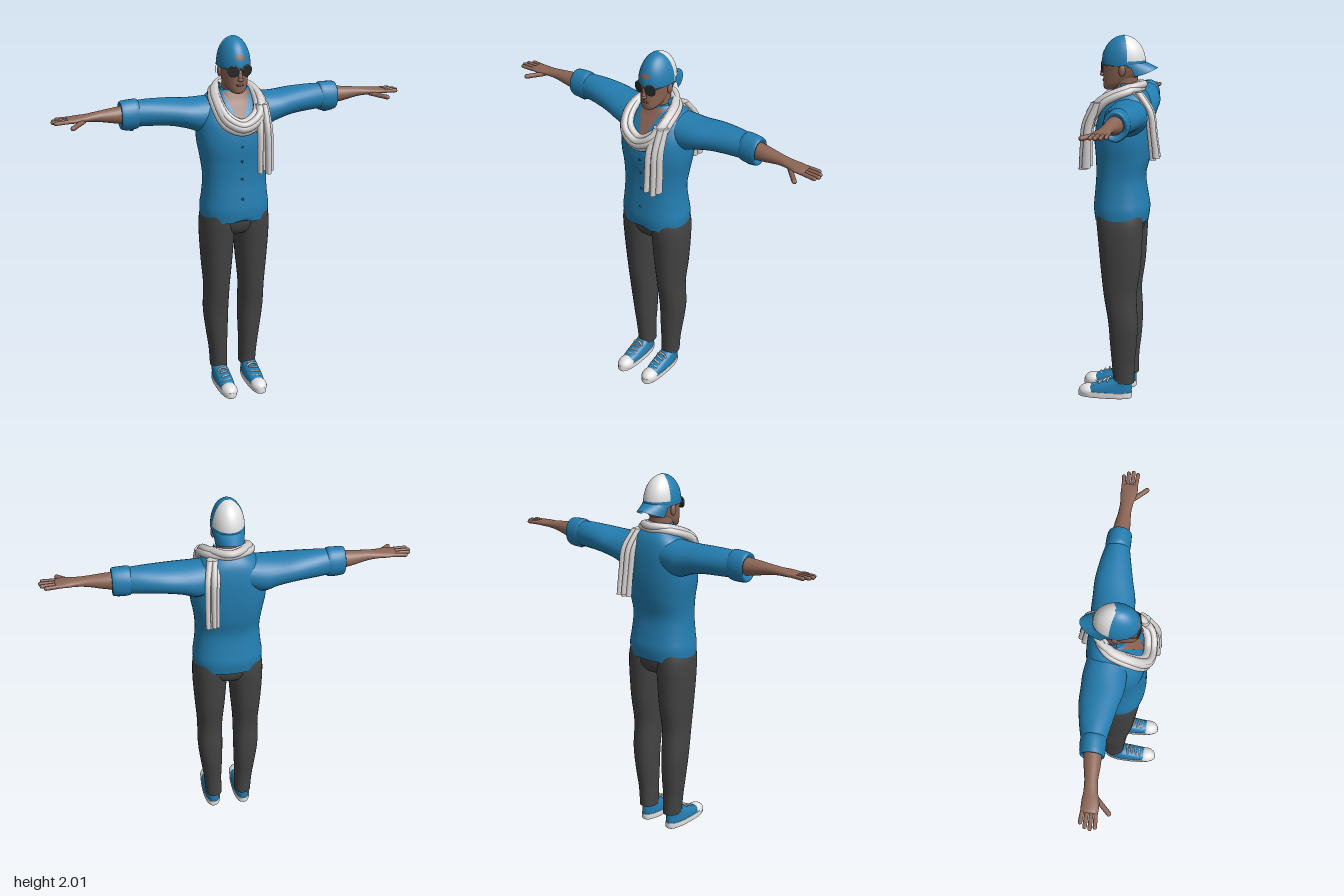
import * as THREE from 'three';

const mat = (name, color, side = THREE.FrontSide) =>
  Object.assign(new THREE.MeshStandardMaterial({ color, side }), { name });

// Smoothly resample a list of cross-sections
function smooth(rows, steps = 4) {
  const out = [], at = i => rows[Math.min(Math.max(i, 0), rows.length - 1)];
  for (let i = 0; i < rows.length - 1; i++) for (let s = 0; s < steps; s++) {
    const t = s / steps;
    out.push(rows[i].map((b, k) => {
      const a = at(i - 1)[k], c = at(i + 1)[k], d = at(i + 2)[k];
      return 0.5 * (2 * b + (c - a) * t + (2 * a - 5 * b + 4 * c - d) * t * t + (3 * b - a - 3 * c + d) * t ** 3);
    }));
  }
  out.push(rows[rows.length - 1]);
  return out;
}

function build(pos, idx) {
  const g = new THREE.BufferGeometry();
  g.setAttribute('position', new THREE.Float32BufferAttribute(pos, 3));
  g.setIndex(idx);
  g.computeVertexNormals();
  return g;
}

// Skin rows of [y, centre x, centre z, radius x, radius z] into a capped body
function loft(rows, { seg = 28, p = 2, steps = 4 } = {}) {
  const dense = smooth(rows, steps), pos = [], idx = [];
  const bend = v => Math.sign(v) * Math.abs(v) ** (2 / p);
  const ring = ([y, cx, cz, rx, rz]) => {
    for (let j = 0; j < seg; j++) {
      const a = j / seg * Math.PI * 2;
      pos.push(cx + rx * bend(Math.cos(a)), y, cz + rz * bend(Math.sin(a)));
    }
  };
  dense.forEach(ring);
  for (let i = 0; i < dense.length - 1; i++) for (let j = 0; j < seg; j++) {
    const k = (j + 1) % seg, a = i * seg, b = a + seg;
    idx.push(a + j, b + j, a + k, b + j, b + k, a + k);
  }
  [dense[0], dense[dense.length - 1]].forEach((r, top) => {
    const s = pos.length / 3;
    ring(r);
    pos.push(r[1], r[0], r[2]);
    for (let j = 0; j < seg; j++) {
      const k = (j + 1) % seg;
      idx.push(s + seg, s + (top ? k : j), s + (top ? j : k));
    }
  });
  return build(pos, idx);
}

// Same, running along x: rows of [x, centre y, centre z, radius y, radius z]
const loftX = (rows, o) => loft(rows.map(([x, y, ...r]) => [x, -y, ...r]), o).rotateZ(-Math.PI / 2);

// Open sheet from a function of u, v in 0..1
function sheet(fn, nu, nv) {
  const pos = [], idx = [];
  for (let i = 0; i <= nv; i++) for (let j = 0; j <= nu; j++) pos.push(...fn(j / nu, i / nv));
  for (let i = 0; i < nv; i++) for (let j = 0; j < nu; j++) {
    const a = i * (nu + 1) + j, b = a + nu + 1;
    idx.push(a, a + 1, b, a + 1, b + 1, b);
  }
  return build(pos, idx);
}

function mirror(geo) {
  const g = geo.clone().scale(-1, 1, 1), ix = g.index.array;
  for (let i = 0; i < ix.length; i += 3) [ix[i + 1], ix[i + 2]] = [ix[i + 2], ix[i + 1]];
  return g;
}

// Rounded rod between two points
function rod(a, b, r) {
  const A = new THREE.Vector3(...a), B = new THREE.Vector3(...b), d = B.clone().sub(A);
  const q = new THREE.Quaternion().setFromUnitVectors(new THREE.Vector3(0, 1, 0), d.clone().normalize());
  const m = A.add(B).multiplyScalar(0.5);
  return new THREE.CapsuleGeometry(r, d.length() - r, 4, 10).applyQuaternion(q).translate(m.x, m.y, m.z);
}
const ball = (x, y, z, rx, ry, rz) => new THREE.SphereGeometry(1, 20, 14).scale(rx, ry, rz).translate(x, y, z);
const box = (x, y, z, w, h, d) => new THREE.BoxGeometry(w, h, d).translate(x, y, z);

export function createModel() {
  const blue = mat('blue cloth', 0x237db0, THREE.DoubleSide), skin = mat('skin', 0x8c6555);
  const trousers = mat('charcoal trousers', 0x434343), scarf = mat('pale scarf', 0xd3cfcf);
  const white = mat('white', 0xe2e2e2, THREE.DoubleSide), lens = mat('dark lens', 0x25272a);
  const metal = mat('frame metal', 0x77726e), navy = mat('button navy', 0x14486a), lip = mat('lips', 0x6e4640);
  const model = new THREE.Group();
  const add = (name, geo, m) => {
    const mesh = new THREE.Mesh(geo, m);
    mesh.name = name;
    model.add(mesh);
  };
  const pair = (name, geo, m) => { add('left ' + name, geo, m); add('right ' + name, mirror(geo), m); };

  // Shirt body with a small notch in the front hem
  const P = 2.35;
  const torso = [
    [1.015, 0, -0.005, 0.184, 0.143], [1.08, 0, -0.005, 0.187, 0.15], [1.15, 0, -0.002, 0.178, 0.142],
    [1.25, 0, 0, 0.172, 0.132], [1.35, 0, -0.01, 0.182, 0.143], [1.45, 0, -0.013, 0.199, 0.152],
    [1.55, 0, -0.02, 0.2, 0.146], [1.62, 0, -0.035, 0.185, 0.125], [1.68, 0, -0.045, 0.14, 0.1],
    [1.725, 0, -0.04, 0.085, 0.075]];
  const shirt = loft(torso, { seg: 48, p: P });
  const sp = shirt.attributes.position;
  for (let i = 0; i < sp.count; i++)
    if (sp.getY(i) < 1.02 && sp.getZ(i) > 0.05)
      sp.setY(i, sp.getY(i) + 0.045 * Math.max(0, 1 - Math.abs(sp.getX(i)) / 0.038));
  shirt.computeVertexNormals();
  add('shirt', shirt, blue);
  const dense = smooth(torso, 12);
  const frontZ = (x, y) => {
    const [, , cz, rx, rz] = dense.find(r => r[0] >= y) || dense[dense.length - 1];
    return cz + rz * (1 - Math.min(1, Math.abs(x) / rx) ** P) ** (1 / P);
  };
  add('open chest', sheet((u, v) => {
    const y = 1.55 + 0.165 * v, x = (u * 2 - 1) * 0.075 * v;
    return [x, y, frontZ(x, y) + 0.005];
  }, 10, 12), skin);
  for (const y of [1.44, 1.36, 1.26, 1.15])
    add('shirt button', ball(0, y, frontZ(0, y), 0.007, 0.007, 0.004), navy);
  add('collar', new THREE.CylinderGeometry(0.074, 0.088, 0.08, 28, 1, true, Math.PI * 0.4, Math.PI * 1.2)
    .translate(0, 1.715, -0.03), blue);

  // Arms: sleeve, rolled cuff, forearm, hand
  pair('sleeve', loftX([
    [0.08, 1.6, -0.05, 0.085, 0.1], [0.17, 1.585, -0.055, 0.094, 0.11], [0.25, 1.597, -0.057, 0.08, 0.108],
    [0.34, 1.61, -0.067, 0.073, 0.097], [0.45, 1.616, -0.07, 0.071, 0.077], [0.53, 1.616, -0.068, 0.068, 0.06]]), blue);
  pair('cuff', loftX([
    [0.505, 1.616, -0.068, 0.064, 0.056], [0.512, 1.616, -0.068, 0.078, 0.064], [0.55, 1.614, -0.068, 0.08, 0.065],
    [0.592, 1.614, -0.066, 0.077, 0.062], [0.602, 1.615, -0.066, 0.068, 0.055], [0.594, 1.617, -0.066, 0.05, 0.045]],
    { steps: 2 }), blue);
  pair('cuff flap', rod([0.535, 1.54, -0.06], [0.585, 1.55, -0.055], 0.014), blue);
  pair('forearm', loftX([
    [0.56, 1.618, -0.066, 0.05, 0.046], [0.64, 1.62, -0.06, 0.04, 0.042], [0.72, 1.624, -0.055, 0.027, 0.033],
    [0.78, 1.624, -0.05, 0.02, 0.035], [0.83, 1.623, -0.046, 0.018, 0.043], [0.875, 1.622, -0.045, 0.014, 0.042],
    [0.885, 1.622, -0.045, 0.006, 0.036]]), skin);
  [[-0.083, 0.935], [-0.059, 0.955], [-0.034, 0.962], [-0.01, 0.952]].forEach(([z, tip], i) =>
    pair('finger ' + (i + 1), rod([0.86, 1.622, -0.045 + (z + 0.045) * 0.85], [tip, 1.62, z], 0.0105), skin));
  pair('thumb', rod([0.795, 1.615, -0.03], [0.875, 1.603, 0.05], 0.0125), skin);

  // Trousers
  add('trouser seat', loft([
    [0.915, 0, -0.01, 0.03, 0.05], [0.94, 0, -0.01, 0.1, 0.1], [0.99, 0, -0.01, 0.165, 0.122],
    [1.08, 0, -0.005, 0.17, 0.125]], { p: 2.3 }), trousers);
  pair('trouser leg', loft([
    [0.09, 0.085, -0.028, 0.047, 0.058], [0.2, 0.09, -0.025, 0.05, 0.063], [0.32, 0.096, -0.027, 0.06, 0.074],
    [0.45, 0.102, -0.025, 0.069, 0.081], [0.6, 0.101, -0.01, 0.07, 0.09], [0.75, 0.1, -0.012, 0.082, 0.108],
    [0.9, 0.099, -0.01, 0.092, 0.119], [1.0, 0.097, -0.008, 0.093, 0.126], [1.06, 0.092, -0.005, 0.088, 0.124]],
    { p: 2.2 }), trousers);

  // Shoes with white sole, toe cap and laces
  pair('sole', loft([
    [0, 0.088, 0.078, 0.045, 0.148], [0.008, 0.088, 0.078, 0.049, 0.153], [0.034, 0.088, 0.077, 0.049, 0.151]],
    { p: 2.5, steps: 2 }), white);
  pair('shoe', loft([
    [0.03, 0.088, 0.07, 0.047, 0.142], [0.055, 0.088, 0.055, 0.046, 0.128], [0.08, 0.088, 0.022, 0.042, 0.094],
    [0.1, 0.088, -0.012, 0.039, 0.062], [0.122, 0.087, -0.027, 0.036, 0.046]], { p: 2.3 }), blue);
  pair('toe cap', ball(0.088, 0.028, 0.172, 0.045, 0.04, 0.056), white);
  for (let i = 0; i < 4; i++) {
    const y = 0.07 + i * 0.013, z = 0.133 - i * 0.025;
    pair('lace', rod([0.064, y, z - 0.008], [0.112, y, z + 0.004], 0.005), white);
  }
  for (const s of [-1, 1])
    pair('lace bow', rod([0.088, 0.112, 0.055], [0.088 + s * 0.032, 0.098, 0.062], 0.005), white);

  // Head and face
  add('neck', loft([[1.6, 0, -0.03, 0.07, 0.065], [1.69, 0, -0.022, 0.06, 0.062], [1.8, 0, -0.02, 0.06, 0.07]]), skin);
  add('head', loft([
    [1.712, 0, 0.062, 0.016, 0.016], [1.72, 0, 0.056, 0.034, 0.036], [1.74, 0, 0.036, 0.052, 0.06],
    [1.77, 0, 0.012, 0.062, 0.085], [1.81, 0, -0.008, 0.07, 0.104], [1.85, 0, -0.014, 0.075, 0.111],
    [1.9, 0, -0.014, 0.074, 0.106], [1.95, 0, -0.014, 0.05, 0.08]], { p: 2.15 }), skin);
  add('nose', rod([0, 1.835, 0.093], [0, 1.798, 0.104], 0.011), skin);
  add('nose tip', ball(0, 1.793, 0.103, 0.016, 0.01, 0.013), skin);
  add('mouth', ball(0, 1.763, 0.094, 0.023, 0.006, 0.007), lip);
  pair('ear', ball(0.076, 1.82, -0.015, 0.011, 0.03, 0.018), skin);

  // Sunglasses
  const place = g => g.rotateY(0.25).translate(0.036, 1.838, 0.097);
  pair('lens', place(new THREE.CylinderGeometry(0.028, 0.028, 0.007, 24).rotateX(Math.PI / 2)), lens);
  pair('lens rim', place(new THREE.TorusGeometry(0.028, 0.003, 6, 24)), metal);
  pair('temple', rod([0.064, 1.848, 0.09], [0.08, 1.845, -0.005], 0.003), metal);
  add('glasses bridge', box(0, 1.85, 0.106, 0.026, 0.005, 0.005), metal);

  // Backward cap: blue shell, white rear panels, strap opening, brim
  const dome = (p0, p1, t0, t1, k = 1) => new THREE.SphereGeometry(1, 28, 18, p0, p1 - p0, t0, t1 - t0)
    .scale(0.086 * k, 0.144 * k, 0.117 * k).translate(0, 1.855, -0.013);
  const back = Math.PI * 1.5, w = 1.3, low = Math.PI / 2 + 0.06;
  add('cap front', dome(back + w, back - w + Math.PI * 2, 0, low), blue);
  add('cap rear panels', dome(back - w, back + w, 0, low), white);
  add('cap opening', dome(Math.PI / 2 - 0.32, Math.PI / 2 + 0.32, 1.13, 1.28, 1.012), skin);
  add('cap button', ball(0, 1.997, -0.013, 0.009, 0.004, 0.009), blue);
  add('cap brim', sheet((u, v) => {
    const a = (u * 2 - 1) * 1.2, s = Math.sin(a), c = Math.cos(a);
    return [s * (0.088 - 0.008 * v), 1.862 - 0.03 * v - s * s * (0.012 + 0.035 * v), -0.013 - c * 0.117 - v * (0.01 + 0.055 * c)];
  }, 20, 6), blue);
  add('cap band', dome(back - w, back + w, 1.46, low + 0.06, 1.012), blue);

  // Scarf: folded strands looped round the neck, with a tail in front and behind
  const half = [[0.085, 1.585, 0.142], [0.118, 1.67, 0.07], [0.092, 1.722, -0.05]];
  const loop = [[0, 1.545, 0.158], ...half, [0, 1.732, -0.105], ...half.map(([x, y, z]) => [-x, y, z]).reverse()];
  [[0.86, 0.03, -0.016, 0.02], [1, 0.004, 0.008, 0.024], [1.12, -0.018, -0.004, 0.021], [0.96, 0.022, 0.012, 0.018]]
    .forEach(([k, dy, dz, r], i) => {
      const pts = loop.map(([x, y, z]) => new THREE.Vector3(x * k, y + dy * (z > 0.1 ? 1 : 0.4), z * (0.94 + k * 0.06) + dz));
      add('scarf loop ' + (i + 1), new THREE.TubeGeometry(new THREE.CatmullRomCurve3(pts, true), 64, r, 10, true), scarf);
    });
  [[-0.03, 0.012, 0], [-0.007, -0.006, 0.01], [0.014, 0.016, -0.006], [0.034, -0.004, 0.006]].forEach(([dx, dz, dy], i) => {
    add('front scarf tail ' + (i + 1), loft([
      [1.305 + dy, 0.112 + dx, 0.17 + dz, 0.015, 0.024], [1.42, 0.112 + dx, 0.165 + dz, 0.016, 0.022],
      [1.54, 0.112 + dx * 0.9, 0.155 + dz, 0.017, 0.022], [1.66, 0.115 + dx * 0.6, 0.105 + dz, 0.018, 0.02]], { seg: 12 }), scarf);
    add('back scarf tail ' + (i + 1), loft([
      [1.365 + dy, 0.106 + dx * 0.8, -0.203 + dz, 0.013, 0.018], [1.5, 0.105 + dx * 0.8, -0.187 + dz, 0.014, 0.016],
      [1.62, 0.1 + dx * 0.8, -0.168 + dz, 0.015, 0.017], [1.715, 0.085 + dx * 0.6, -0.1 + dz, 0.016, 0.02]], { seg: 12 }), scarf);
  });
  return model;
}
